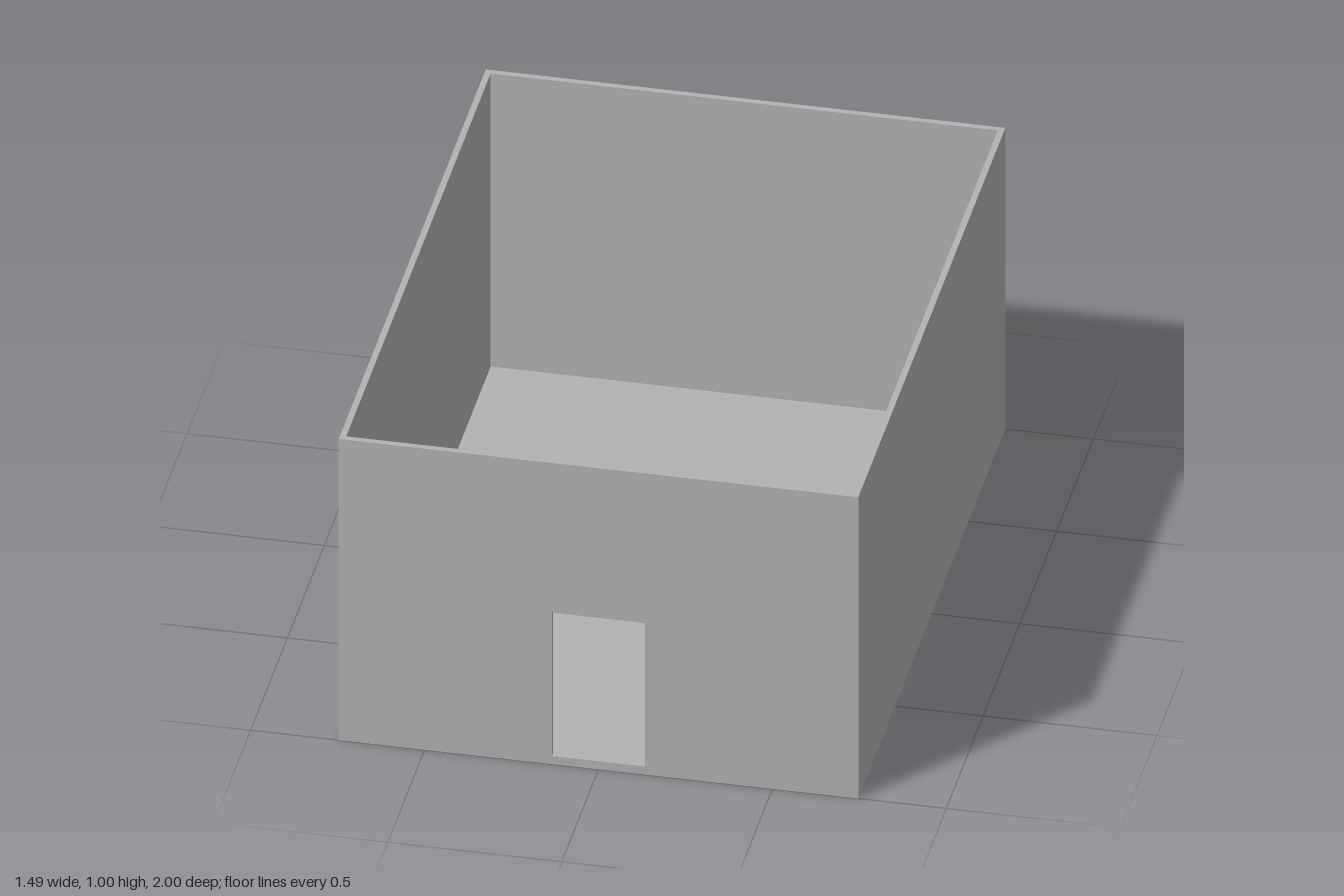
import * as THREE from 'three';

const WIDTH = 1.494, HEIGHT = 1, DEPTH = 2;
const WALL = 0.018, FLOOR = 0.027;
const DOOR = { left: -0.134, right: 0.134, top: 0.503 };

export function createModel() {
  const model = new THREE.Group();
  model.name = 'openRoom';
  const grey = new THREE.MeshStandardMaterial({ color: 0xb2b2b2 });
  grey.name = 'plain grey';

  function add(name, geometry, x, y, z) {
    const mesh = new THREE.Mesh(geometry, grey);
    mesh.name = name;
    mesh.position.set(x, y, z);
    model.add(mesh);
  }

  // Floor slab fitted between the walls
  add('floor', new THREE.BoxGeometry(WIDTH - 2 * WALL, FLOOR, DEPTH - 2 * WALL), 0, FLOOR / 2, 0);

  // Side walls, between the front and back walls
  for (const side of [1, -1]) {
    add(side > 0 ? 'leftWall' : 'rightWall',
      new THREE.BoxGeometry(WALL, HEIGHT, DEPTH - 2 * WALL),
      side * (WIDTH - WALL) / 2, HEIGHT / 2, 0);
  }

  // Back wall
  add('backWall', new THREE.BoxGeometry(WIDTH, HEIGHT, WALL), 0, HEIGHT / 2, -(DEPTH - WALL) / 2);

  // Front wall with a doorway whose sill is level with the floor
  const w = WIDTH / 2;
  const points = (...list) => list.map(([x, y]) => new THREE.Vector2(x, y));
  const front = new THREE.Shape(points([-w, 0], [w, 0], [w, HEIGHT], [-w, HEIGHT]));
  front.holes.push(new THREE.Path(points(
    [DOOR.left, FLOOR], [DOOR.left, DOOR.top], [DOOR.right, DOOR.top], [DOOR.right, FLOOR])));
  add('frontWall', new THREE.ExtrudeGeometry(front, { depth: WALL, bevelEnabled: false }), 0, 0, DEPTH / 2 - WALL);

  return model;
}
